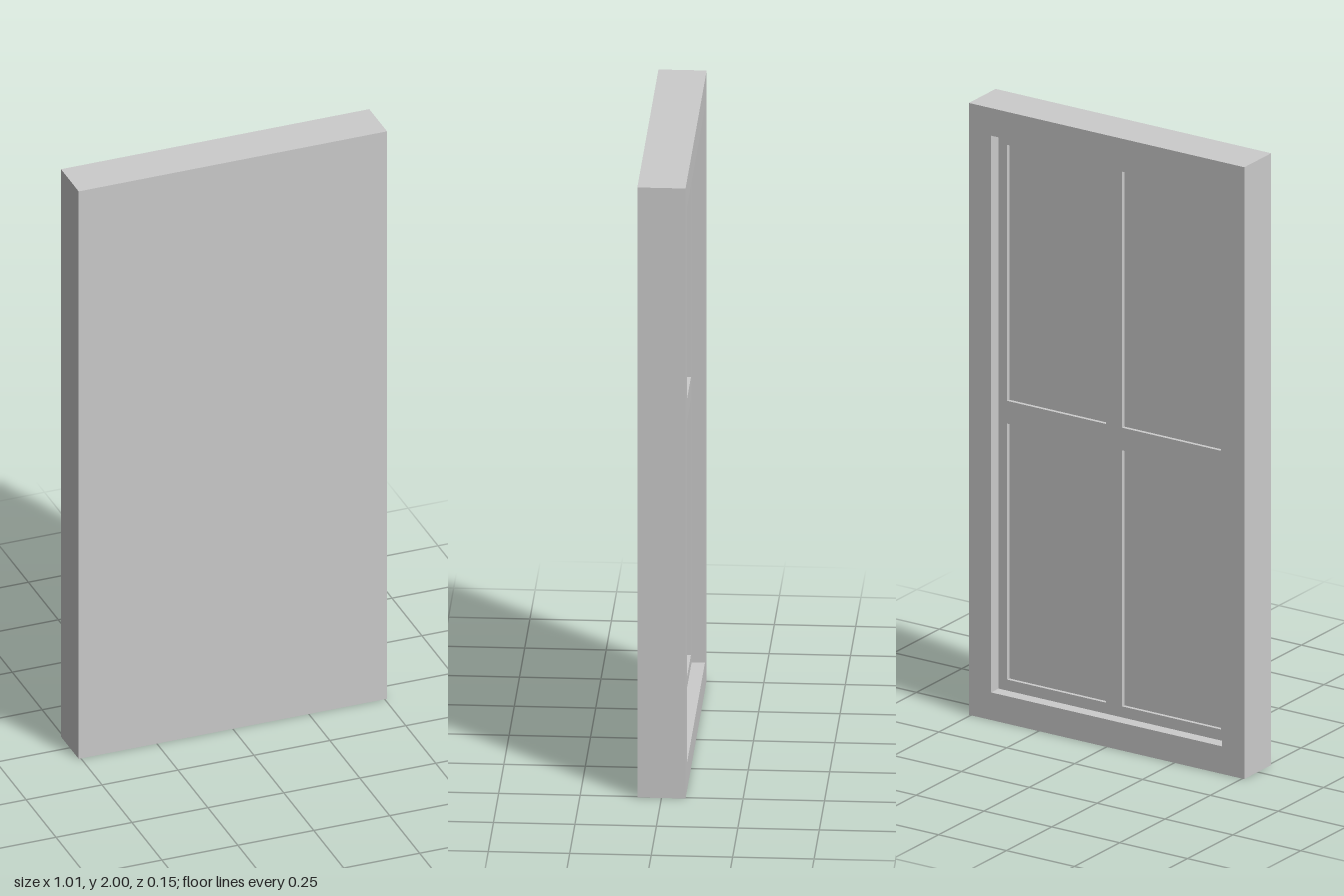
import * as THREE from 'three';

const W = 1.015, H = 2, D = 0.148;
const BACK = -D / 2;
const SASH_Z = BACK + 0.041;   // rear face of the sash
const PANE_Z = SASH_Z + 0.012; // rear face of the panes

const material = new THREE.MeshStandardMaterial({ color: 0xcccccc, flatShading: true });

function addRect(path, x0, y0, x1, y1) {
  path.moveTo(x0, y0);
  path.lineTo(x1, y0);
  path.lineTo(x1, y1);
  path.lineTo(x0, y1);
  path.closePath();
  return path;
}

// Rectangular plate with rectangular openings, extruded from z0 to z1
function plate(name, outer, holes, z0, z1) {
  const shape = addRect(new THREE.Shape(), ...outer);
  for (const h of holes) shape.holes.push(addRect(new THREE.Path(), ...h));
  const geometry = new THREE.ExtrudeGeometry(shape, { depth: z1 - z0, bevelEnabled: false });
  geometry.translate(0, 0, z0);
  const mesh = new THREE.Mesh(geometry, material);
  mesh.name = name;
  return mesh;
}

export function createModel() {
  const group = new THREE.Group();
  group.name = 'windowPanel';

  // Solid slab: plain front, its rear face forms the panes
  const slab = new THREE.Mesh(new THREE.BoxGeometry(W, H, D / 2 - PANE_Z), material);
  slab.position.set(0, H / 2, (D / 2 + PANE_Z) / 2);
  slab.name = 'frontSlab';
  group.add(slab);

  // Outer frame around the rear recess
  const opening = [-W / 2 + 0.082, 0.09, W / 2 - 0.082, H - 0.09];
  group.add(plate('outerFrame', [-W / 2, 0, W / 2, H], [opening], BACK, PANE_Z));

  // Sash with a cross of glazing bars between four panes
  const paneX = W / 2 - 0.114, barX = 0.03;
  const paneY = H / 2 - 0.126, barY = 0.037;
  const panes = [];
  for (const sx of [-1, 1]) {
    for (const sy of [-1, 1]) {
      const xs = [sx * barX, sx * paneX].sort((a, b) => a - b);
      const ys = [H / 2 + sy * barY, H / 2 + sy * paneY].sort((a, b) => a - b);
      panes.push([xs[0], ys[0], xs[1], ys[1]]);
    }
  }
  group.add(plate('sash', opening, panes, SASH_Z, PANE_Z));

  return group;
}
